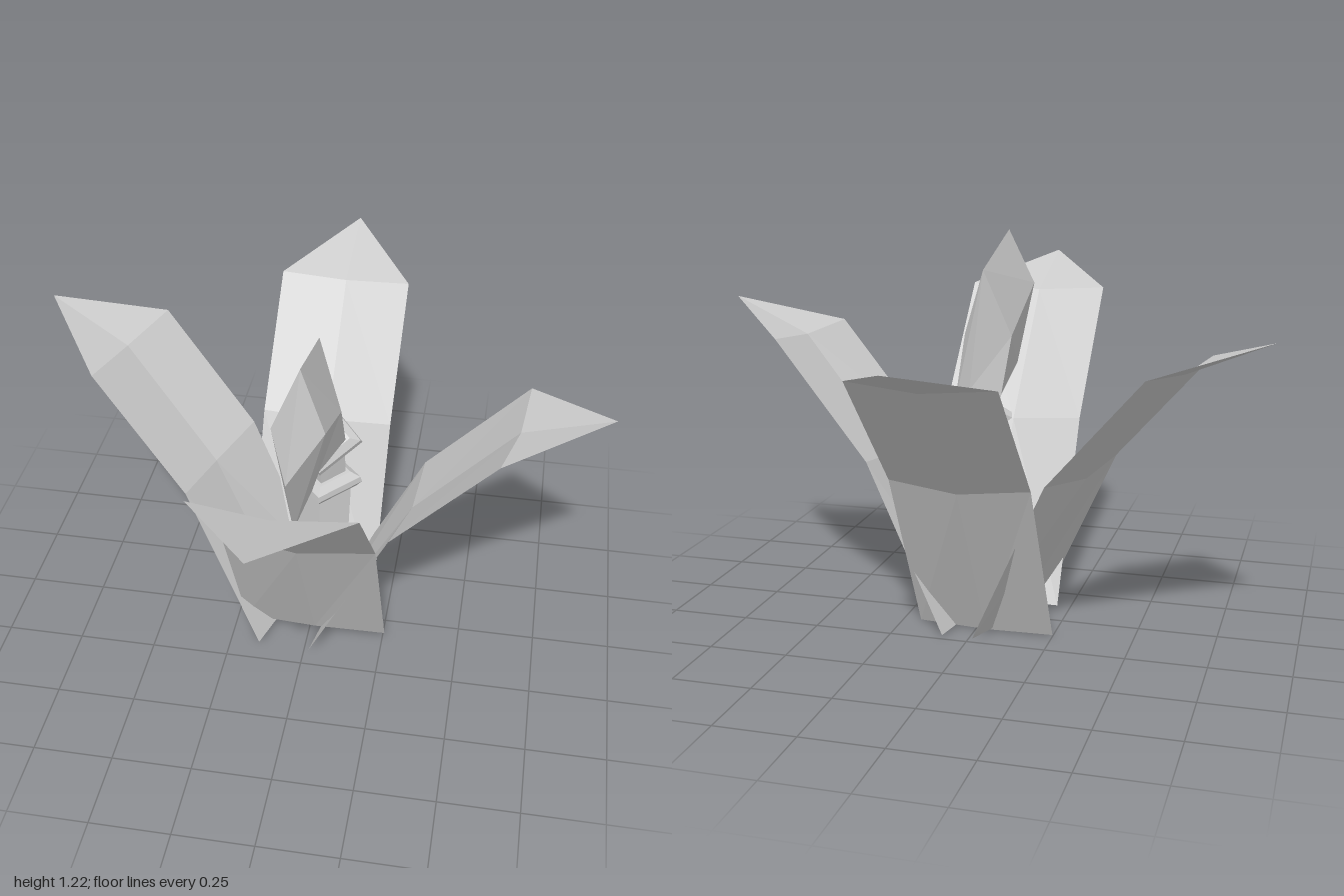
import * as THREE from 'three';

const material = new THREE.MeshStandardMaterial({ color: 0xcccccc, flatShading: true, side: THREE.DoubleSide });

// Skin a list of equal-length cross-sections; closed ones wrap around.
function loft(name, sections, closed) {
  const n = sections[0].length;
  const index = [];
  for (let i = 0; i < sections.length - 1; i++) {
    for (let j = 0; j < (closed ? n : n - 1); j++) {
      const a = i * n + j, b = i * n + (j + 1) % n;
      index.push(a, a + n, b, b, a + n, b + n);
    }
  }
  const geometry = new THREE.BufferGeometry();
  geometry.setAttribute('position', new THREE.Float32BufferAttribute(sections.flat(2), 3));
  geometry.setIndex(index);
  geometry.computeVertexNormals();
  const mesh = new THREE.Mesh(geometry, material);
  mesh.name = name;
  return mesh;
}

// Leaf: rows of left edge, sagging midrib and right edge, ending in a point.
function leaf(name, spine, halfWidth) {
  const [base, , , tip] = spine;
  const out = new THREE.Vector2(tip[0] - base[0], tip[2] - base[2]).normalize();
  const sag = [0.005, 0.022, 0.018, 0];
  const rows = spine.map(([x, y, z], i) => {
    const w = i === 3 ? 0 : halfWidth;
    const s = sag[i];
    return [
      [x + out.y * w, y, z - out.x * w],
      [x + out.x * s * 0.8, Math.max(0, y - s), z + out.y * s * 0.8],
      [x - out.y * w, y, z + out.x * w],
    ];
  });
  return loft(name, rows, false);
}

// Four-cornered section from back/top and front/bottom corners [y, z].
const CX = 0.022;
function diamond([y0, z0], [y1, z1], halfWidth, side = [(y0 + y1) / 2, (z0 + z1) / 2]) {
  return [[CX, y0, z0], [CX + halfWidth, ...side], [CX, y1, z1], [CX - halfWidth, ...side]];
}

// Square bevelled collar around the stem.
function collar(name, y, z, tilt) {
  const profile = [[0.07, -0.03], [0.105, -0.028], [0.123, -0.008], [0.118, 0.012], [0.085, 0.03], [0.05, 0.03]]
    .map(([r, h]) => new THREE.Vector2(r, h));
  const mesh = new THREE.Mesh(new THREE.LatheGeometry(profile, 4), material);
  mesh.name = name;
  mesh.position.set(CX, y, z);
  mesh.rotation.x = tilt;
  return mesh;
}

export function createModel() {
  const model = new THREE.Group();
  model.name = 'plant';

  // Four folded leaves: base, middle, shoulder, tip
  model.add(
    leaf('frontLeaf', [[0.02, 0.025, 0.08], [0.01, 0.6, 0.345], [0.003, 0.995, 0.685], [0, 1.085, 1]], 0.237),
    leaf('backLeaf', [[-0.03, 0.008, -0.13], [-0.02, 0.55, -0.39], [-0.01, 0.915, -0.715], [0, 1, -1]], 0.22),
    leaf('leftLeaf', [[0.05, 0.008, -0.02], [0.305, 0.545, 0.015], [0.622, 0.91, 0.068], [0.905, 1, 0.12]], 0.215),
    leaf('rightLeaf', [[-0.085, 0.012, -0.03], [-0.33, 0.545, -0.115], [-0.635, 0.9, -0.21], [-0.91, 1, -0.29]], 0.225),
  );

  // Stem bending forward into the bud
  model.add(loft('stem', [
    diamond([0.02, -0.1], [0.02, 0.06], 0.08),
    diamond([0.54, -0.18], [0.52, 0], 0.088),
  ], true));
  model.add(loft('neck', [
    diamond([0.54, -0.16], [0.53, -0.02], 0.068),
    diamond([0.75, -0.135], [0.63, -0.01], 0.068),
  ], true));
  model.add(collar('lowerCollar', 0.53, -0.09, 0.1));
  model.add(collar('upperCollar', 0.695, -0.075, 0.76));

  // Flattened bud with a pointed front
  const point = [CX, 1, 0.58];
  model.add(loft('bud', [
    diamond([0.78, -0.13], [0.63, 0.02], 0.072),
    diamond([1.13, 0.025], [0.655, 0.15], 0.0775, [0.915, 0.085]),
    diamond([1.225, 0.345], [0.755, 0.465], 0.0775, [1.045, 0.385]),
    [point, point, point, point],
  ], true));
  return model;
}
